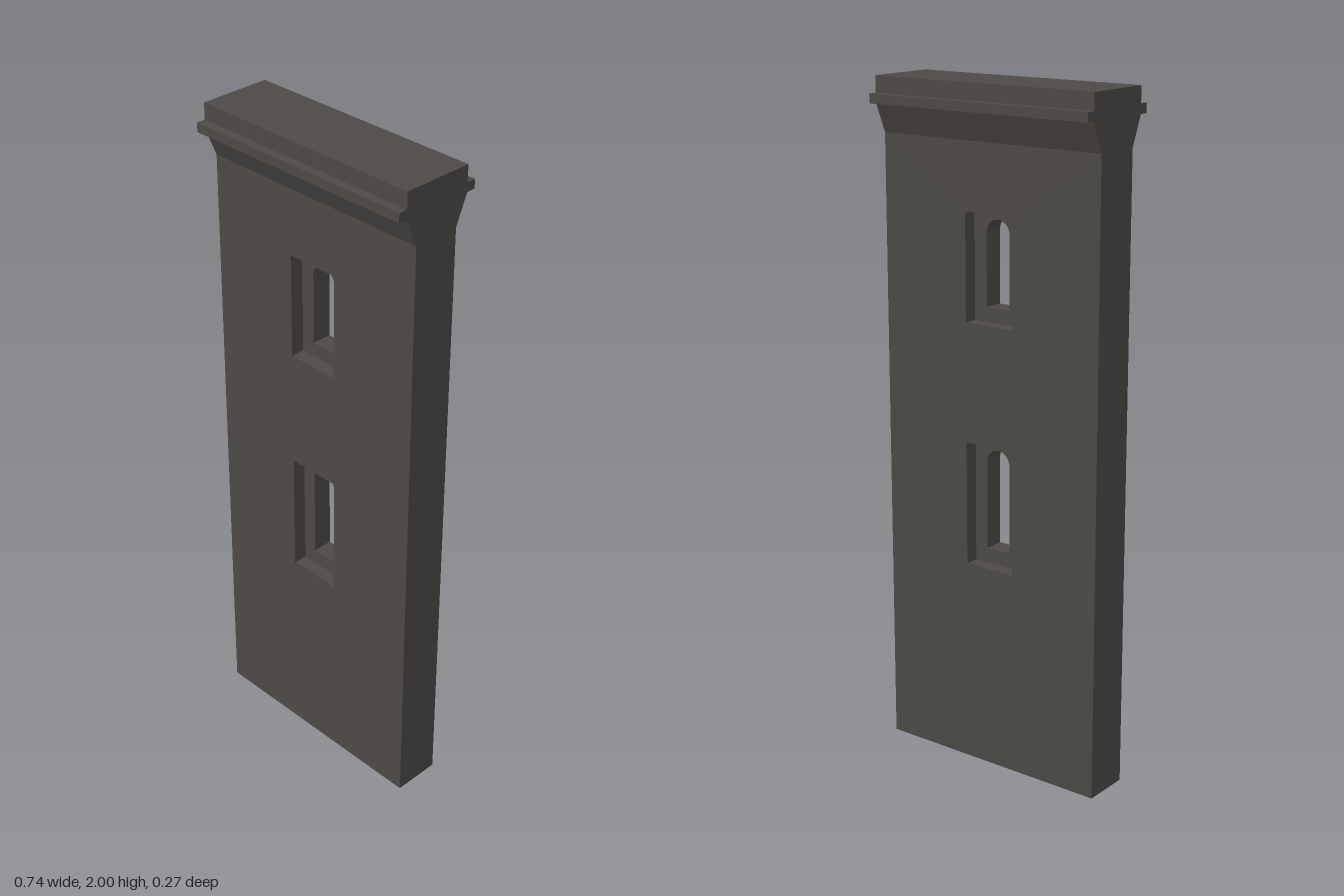
import * as THREE from 'three';

const HALF_W = 0.368, HALF_T = 0.072, PANEL_T = 0.03, WALL_TOP = 1.84;

// Recess bottom/top and arched slit bottom/top for each window
const WINDOWS = [
  { recess: [0.615, 0.983], slit: [0.66, 0.962] },
  { recess: [1.333, 1.645], slit: [1.375, 1.625] },
];
const RECESS_HALF = 0.082, SLIT_HALF = 0.04;

function rectPath(path, halfWidth, y0, y1) {
  path.moveTo(-halfWidth, y0);
  path.lineTo(halfWidth, y0);
  path.lineTo(halfWidth, y1);
  path.lineTo(-halfWidth, y1);
  path.closePath();
  return path;
}

function archPath(halfWidth, y0, y1) {
  const path = new THREE.Path();
  path.moveTo(-halfWidth, y0);
  path.lineTo(halfWidth, y0);
  path.lineTo(halfWidth, y1 - halfWidth);
  path.absarc(0, y1 - halfWidth, halfWidth, 0, Math.PI, false);
  path.closePath();
  return path;
}

// Wall layer between two depths, pierced by the given holes
function slab(holes, z0, z1) {
  const shape = rectPath(new THREE.Shape(), HALF_W, 0, WALL_TOP);
  shape.holes.push(...holes);
  const geometry = new THREE.ExtrudeGeometry(shape, { depth: z1 - z0, bevelEnabled: false, curveSegments: 12 });
  return geometry.translate(0, 0, z0);
}

export function createModel() {
  const group = new THREE.Group();
  group.name = 'wallSection';
  const stone = new THREE.MeshStandardMaterial({ color: 0x4c4946 });

  const add = (name, geometry) => {
    const mesh = new THREE.Mesh(geometry, stone);
    mesh.name = name;
    group.add(mesh);
  };

  // Core with arched slits, faced on both sides by layers with square recesses
  const slits = WINDOWS.map(w => archPath(SLIT_HALF, ...w.slit));
  const recesses = WINDOWS.map(w => rectPath(new THREE.Path(), RECESS_HALF, ...w.recess));
  add('wallCore', slab(slits, -PANEL_T, PANEL_T));
  add('frontFacing', slab(recesses, PANEL_T, HALF_T));
  add('backFacing', slab(recesses, -HALF_T, -PANEL_T));

  // Flared cornice with a projecting string course, mirrored front to back
  const half = [
    [HALF_T, WALL_TOP], [0.108, 1.925], [0.135, 1.925],
    [0.135, 1.952], [0.108, 1.952], [0.108, 2],
  ];
  const outline = [...half, ...half.map(([z, y]) => [-z, y]).reverse()];
  const profile = new THREE.Shape(outline.map(([z, y]) => new THREE.Vector2(z, y)));
  const cornice = new THREE.ExtrudeGeometry(profile, { depth: HALF_W * 2, bevelEnabled: false });
  cornice.translate(0, 0, -HALF_W).rotateY(Math.PI / 2);
  add('cornice', cornice);

  return group;
}
